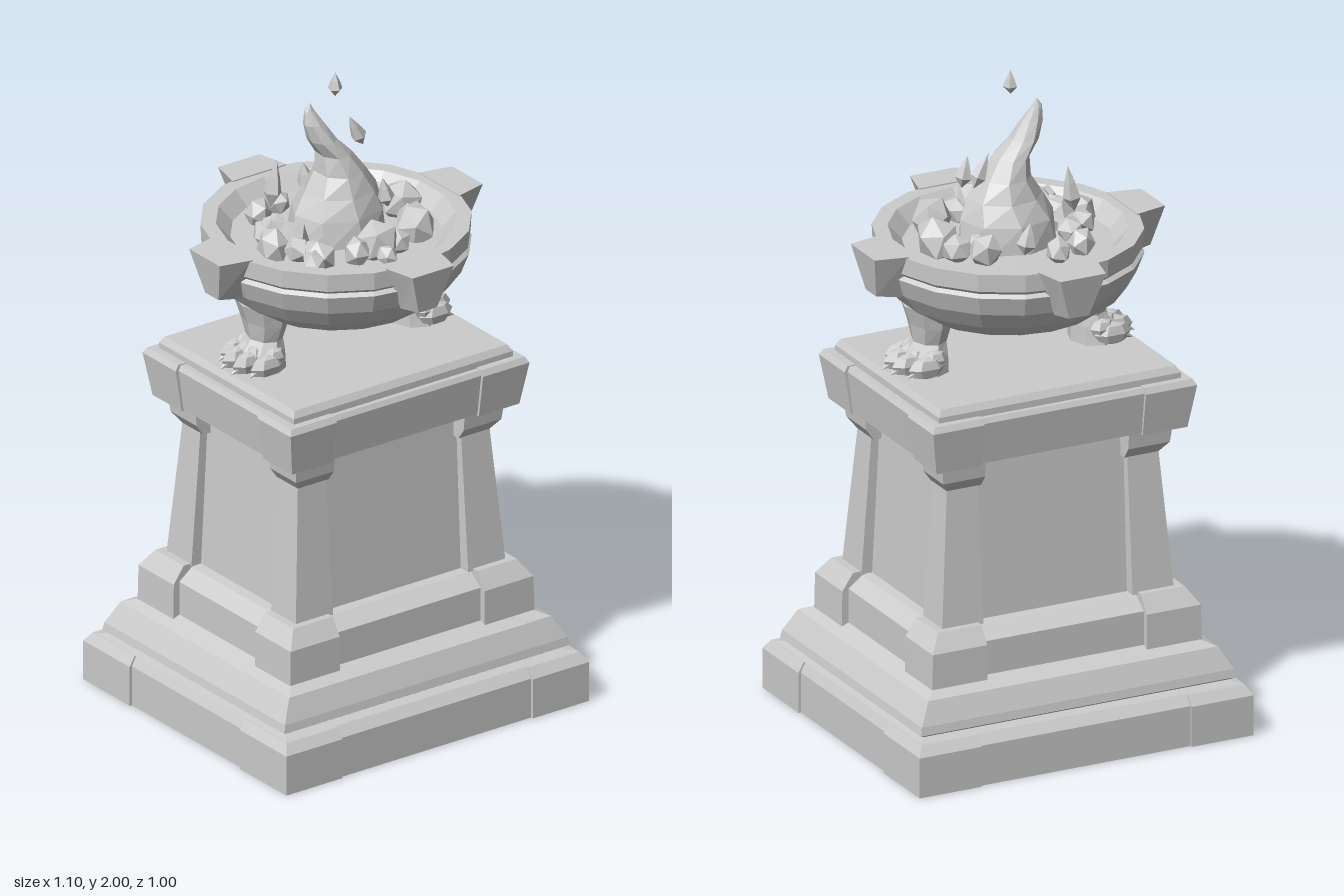
import * as THREE from 'three';

const stone = new THREE.MeshStandardMaterial({ color: 0xcccccc, flatShading: true, side: THREE.DoubleSide });
stone.name = 'grey stone';

const add = (parent, name, geometry) => {
  const mesh = new THREE.Mesh(geometry, stone);
  mesh.name = name;
  parent.add(mesh);
  return mesh;
};

// Skin a stack of equal-length rings (bottom to top), with optional end caps
function loft(rings, capBottom = true, capTop = true) {
  const n = rings[0].length, pos = [], index = [];
  rings.forEach(r => r.forEach(p => pos.push(...p)));
  for (let k = 0; k < rings.length - 1; k++) {
    for (let i = 0; i < n; i++) {
      const a = k * n + i, b = k * n + (i + 1) % n, c = a + n, d = b + n;
      index.push(a, c, b, b, c, d);
    }
  }
  const last = (rings.length - 1) * n;
  for (let i = 1; i < n - 1; i++) {
    if (capBottom) index.push(0, i, i + 1);
    if (capTop) index.push(last, last + i + 1, last + i);
  }
  const g = new THREE.BufferGeometry();
  g.setAttribute('position', new THREE.Float32BufferAttribute(pos, 3));
  g.setIndex(index);
  g.computeVertexNormals();
  return g;
}

const rect = (x0, x1, z0, z1, y) => [[x1, y, z1], [x0, y, z1], [x0, y, z0], [x1, y, z0]];

const oval = (cx, cz, rx, rz, y, n, turn = 0) => Array.from({ length: n }, (_, i) => {
  const t = i / n * Math.PI * 2 + turn;
  return [cx + Math.cos(t) * rx, y, cz + Math.sin(t) * rz];
});

// The same block on all four corners; profile rows are [outer x, outer z, y]
function corners(parent, name, innerX, innerZ, profile) {
  for (const sx of [1, -1]) for (const sz of [1, -1]) {
    const rings = profile.map(([x, z, y]) => {
      const xs = [sx * innerX, sx * x].sort((a, b) => a - b);
      const zs = [sz * innerZ, sz * z].sort((a, b) => a - b);
      return rect(xs[0], xs[1], zs[0], zs[1], y);
    });
    add(parent, name, loft(rings, false));
  }
}

// Faceted teardrop: pointed at both ends
function teardrop(r, h) {
  return new THREE.LatheGeometry([[0, -h * 0.5], [r, -h * 0.18], [r * 0.6, h * 0.15], [0, h * 0.5]]
    .map(p => new THREE.Vector2(...p)), 5);
}

function pedestal() {
  const g = new THREE.Group();
  g.name = 'pedestal';

  // Hollow stepped body, open below: [half x, half z, y]
  const body = [
    [0.54, 0.49, 0], [0.54, 0.49, 0.125], [0.525, 0.465, 0.155], [0.5, 0.43, 0.16],
    [0.517, 0.447, 0.17], [0.512, 0.442, 0.195], [0.475, 0.413, 0.262], [0.42, 0.355, 0.285],
    [0.42, 0.355, 0.39], [0.375, 0.305, 0.425], [0.345, 0.28, 0.43], [0.318, 0.255, 0.94],
    [0.405, 0.335, 0.94], [0.423, 0.353, 1.07], [0.415, 0.345, 1.085], [0.397, 0.33, 1.085],
    [0.397, 0.33, 1.105], [0.385, 0.318, 1.125],
  ];
  add(g, 'steppedBody', loft(body.map(([x, z, y]) => rect(-x, x, -z, z, y)), false));

  corners(g, 'plinthCorner', 0.345, 0.27, [[0.548, 0.498, 0], [0.548, 0.498, 0.125], [0.53, 0.475, 0.155]]);
  corners(g, 'pillarFoot', 0.262, 0.2, [[0.442, 0.375, 0.27], [0.44, 0.373, 0.385], [0.405, 0.338, 0.437]]);
  corners(g, 'pillar', 0.245, 0.195, [[0.38, 0.317, 0.43], [0.347, 0.282, 0.86]]);
  corners(g, 'pillarCapital', 0.235, 0.18, [[0.347, 0.282, 0.85], [0.372, 0.308, 0.885], [0.378, 0.314, 0.942]]);
  corners(g, 'slabCorner', 0.265, 0.2, [[0.412, 0.342, 0.936], [0.433, 0.363, 1.07], [0.423, 0.353, 1.088]]);
  return g;
}

// Clawed leg reaching out along +x
function clawLeg() {
  const g = new THREE.Group();
  g.name = 'clawLeg';
  add(g, 'shin', loft([
    oval(0.275, 0, 0.07, 0.085, 1.125, 8), oval(0.27, 0, 0.065, 0.075, 1.18, 8),
    oval(0.26, 0, 0.05, 0.062, 1.215, 8), oval(0.26, 0, 0.06, 0.085, 1.27, 8),
    oval(0.265, 0, 0.075, 0.1, 1.33, 8),
  ]));
  [-0.075, -0.026, 0.026, 0.075].forEach((z, i) => {
    const reach = i % 3 ? 0.335 : 0.305;
    const toe = add(g, 'toe', new THREE.SphereGeometry(1, 6, 4));
    toe.scale.set(0.06, 0.036, 0.027);
    toe.position.set(reach, 1.157, z);
    const knuckle = add(g, 'knuckle', new THREE.SphereGeometry(1, 6, 4));
    knuckle.scale.set(0.04, 0.03, 0.026);
    knuckle.position.set(reach - 0.03, 1.175, z * 0.9);
    const claw = add(g, 'claw', new THREE.ConeGeometry(0.017, 0.05, 5));
    claw.position.set(reach + 0.045, 1.143, z);
    claw.rotation.z = -2;
  });
  return g;
}

function bowl() {
  const g = new THREE.Group();
  g.name = 'brazier';
  const profile = [
    [0, 1.237], [0.1, 1.24], [0.19, 1.255], [0.275, 1.285], [0.335, 1.33], [0.375, 1.385],
    [0.398, 1.445], [0.385, 1.455], [0.395, 1.465], [0.398, 1.52], [0.352, 1.52], [0.31, 1.475], [0, 1.48],
  ].map(p => new THREE.Vector2(...p));
  add(g, 'bowl', new THREE.LatheGeometry(profile, 18));

  // Tapered lugs on the rim
  for (let i = 0; i < 4; i++) {
    const quad = (x0, x1, w0, w1, y0, y1) => [[x1, y1, w1], [x0, y0, w0], [x0, y0, -w0], [x1, y1, -w1]];
    const lug = add(g, 'rimLug', loft([
      quad(0.37, 0.45, 0.04, 0.033, 1.378, 1.392), quad(0.375, 0.477, 0.098, 0.075, 1.524, 1.524),
    ]));
    lug.rotation.y = i * Math.PI / 2;
  }
  return g;
}

function fire() {
  const g = new THREE.Group();
  g.name = 'fire';

  // Twisting flame: [centre x, centre z, radius x, radius z, y]
  const flame = [
    [0, 0, 0.155, 0.14, 1.47], [0.005, 0, 0.145, 0.13, 1.56], [0.01, 0.005, 0.115, 0.105, 1.62],
    [0.008, 0.005, 0.075, 0.085, 1.68], [-0.012, 0.003, 0.05, 0.066, 1.74], [-0.052, 0, 0.042, 0.05, 1.79],
    [-0.078, -0.004, 0.032, 0.03, 1.845], [-0.09, -0.01, 0.016, 0.013, 1.885], [-0.088, -0.01, 0.002, 0.002, 1.908],
  ];
  add(g, 'flame', loft(flame.map(([x, z, rx, rz, y], i) => oval(x, z, rx, rz, y, 8, i * 0.12))));

  // Loose sparks: [x, y, z, radius, height, tilt]
  [[-0.018, 1.962, 0.02, 0.022, 0.076, 0], [0.125, 1.74, -0.07, 0.024, 0.115, 0.45],
    [-0.16, 1.64, -0.09, 0.028, 0.15, -0.15], [0.06, 1.645, 0.16, 0.026, 0.1, 0.2],
    [0.045, 1.56, -0.21, 0.03, 0.1, 0.2]].forEach(([x, y, z, r, h, tilt]) => {
    const spark = add(g, 'spark', teardrop(r, h));
    spark.position.set(x, y, z);
    spark.rotation.z = tilt;
  });

  // Coals around the flame: [x, z, radius]
  [[-0.145, -0.185, 0.042], [-0.056, -0.21, 0.038], [-0.165, -0.075, 0.042], [-0.215, -0.045, 0.045],
    [-0.25, 0.03, 0.05], [-0.18, 0.03, 0.052], [-0.205, 0.09, 0.042], [-0.175, 0.155, 0.05],
    [-0.22, 0.19, 0.036], [-0.075, 0.205, 0.042], [0, 0.2, 0.068], [0.062, 0.212, 0.042],
    [-0.012, 0.265, 0.032], [0.165, 0.165, 0.062], [0.205, 0.08, 0.032], [0.225, 0.01, 0.066],
    [0.205, -0.07, 0.046], [0.14, -0.125, 0.052], [0.13, -0.06, 0.034]].forEach(([x, z, r], i) => {
    const coal = add(g, 'coal', new THREE.IcosahedronGeometry(r, 0));
    coal.position.set(x, 1.49 + r * 0.4, z);
    coal.scale.y = 1.2;
    coal.rotation.set(i * 0.7, i * 1.9, 0);
  });
  return g;
}

export function createModel() {
  const model = new THREE.Group();
  model.name = 'brazierPedestal';
  const leftLeg = clawLeg(), rightLeg = clawLeg();
  rightLeg.rotation.y = Math.PI;
  model.add(pedestal(), leftLeg, rightLeg, bowl(), fire());
  return model;
}
